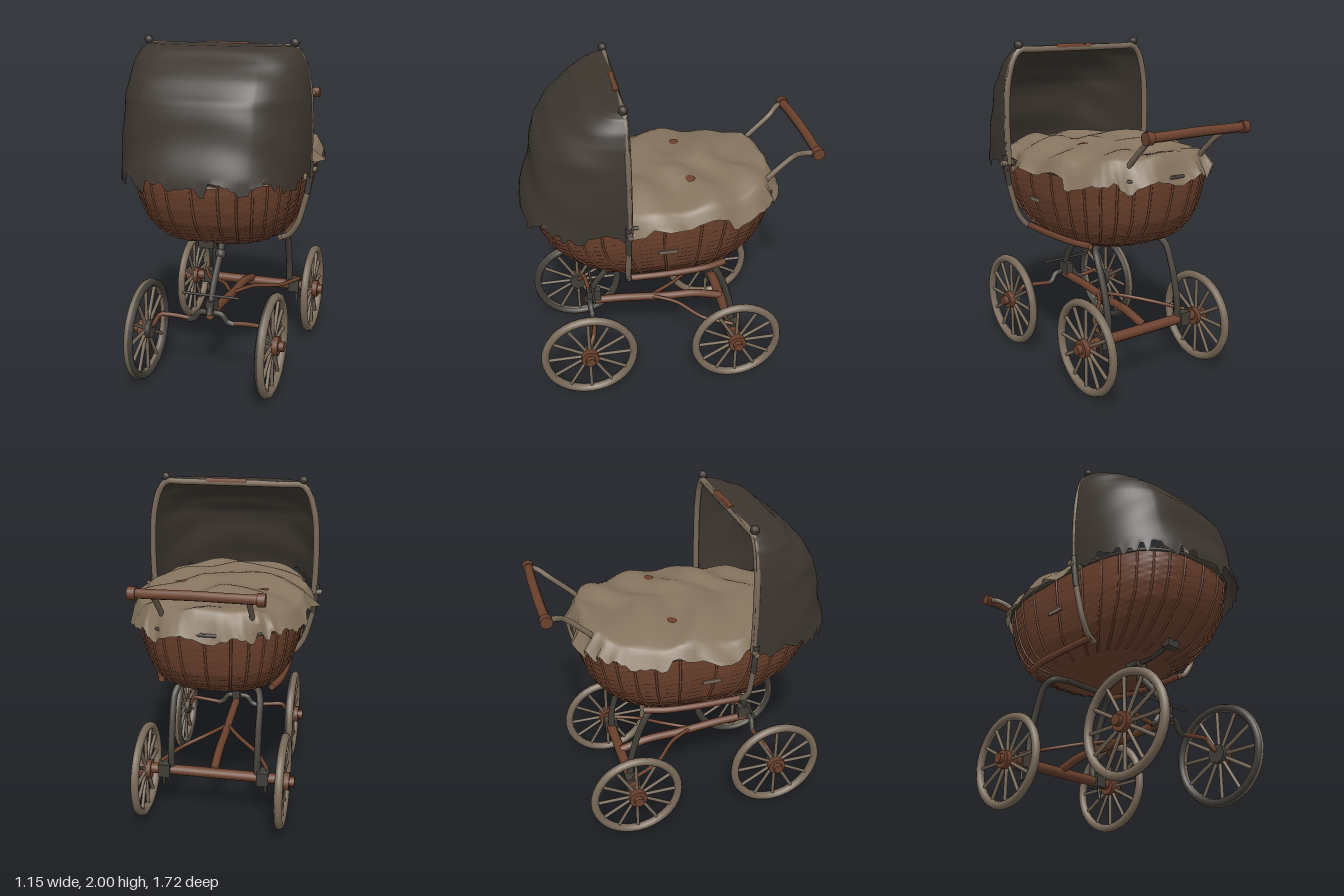
import * as THREE from 'three';
import { mergeVertices } from 'three/addons/utils/BufferGeometryUtils.js';

const mat = (name, color, side = THREE.FrontSide) => {
  const m = new THREE.MeshStandardMaterial({ color, side });
  m.name = name;
  return m;
};
const V = (x, y, z) => new THREE.Vector3(x, y, z);
const clamp = THREE.MathUtils.clamp;
const spow = (v, p) => Math.sign(v) * Math.pow(Math.abs(v), p);

// Repeatable jitter in -1..1
const noise = (i) => {
  const s = Math.sin(i * 127.1 + 3.7) * 43758.5453;
  return (s - Math.floor(s)) * 2 - 1;
};

// Linear lookup of column k in evenly spaced rows
function lookup(rows, t, k) {
  const f = clamp(t, 0, 1) * (rows.length - 1);
  const i = Math.min(Math.floor(f), rows.length - 2);
  return THREE.MathUtils.lerp(rows[i][k], rows[i + 1][k], f - i);
}

// Surface swept over a grid: fn(u, v, i, j) -> Vector3
function surface(nu, nv, fn) {
  const pos = [], idx = [];
  for (let j = 0; j <= nv; j++)
    for (let i = 0; i <= nu; i++) pos.push(...fn(i / nu, j / nv, i, j).toArray());
  for (let j = 0; j < nv; j++)
    for (let i = 0; i < nu; i++) {
      const a = j * (nu + 1) + i, b = a + nu + 1;
      idx.push(a, b, a + 1, a + 1, b, b + 1);
    }
  let g = new THREE.BufferGeometry();
  g.setAttribute('position', new THREE.Float32BufferAttribute(pos, 3));
  g.setIndex(idx);
  g = mergeVertices(g, 1e-4);
  g.computeVertexNormals();
  return g;
}

export function createModel() {
  const root = new THREE.Group();
  root.name = 'pram';
  const wicker = mat('wicker brown', 0x6d422e, THREE.DoubleSide);
  const rust = mat('rusty wood', 0x6b412d, THREE.DoubleSide);
  const iron = mat('dark iron', 0x423e38);
  const wood = mat('weathered wood', 0x796a59);
  const hoodCloth = mat('hood cloth', 0x3d362f, THREE.DoubleSide);
  const linen = mat('linen', 0x85735e, THREE.DoubleSide);

  const add = (name, geo, m, parent = root) => {
    const mesh = new THREE.Mesh(geo, m);
    mesh.name = name;
    parent.add(mesh);
    return mesh;
  };
  const tube = (name, pts, r, m, parent = root, closed = false) =>
    add(name, new THREE.TubeGeometry(
      new THREE.CatmullRomCurve3(pts, closed, 'catmullrom', 0.4), pts.length * 6, r, 8, closed), m, parent);
  const rod = (name, a, b, r, m, parent = root, sides = 8) => {
    const mesh = add(name, new THREE.CylinderGeometry(r, r, a.distanceTo(b), sides), m, parent);
    mesh.position.copy(a).lerp(b, 0.5);
    mesh.quaternion.setFromUnitVectors(V(0, 1, 0), b.clone().sub(a).normalize());
    return mesh;
  };
  const ball = (name, p, r, m) => add(name, new THREE.SphereGeometry(r, 10, 8), m).position.copy(p);
  const box = (name, w, h, d, p, m) => add(name, new THREE.BoxGeometry(w, h, d), m).position.copy(p);

  // Wicker basket: y, half width, front z, back z
  const hull = [
    [0.83, 0.0, 0.05, 0.0], [0.835, 0.28, 0.38, -0.34], [0.88, 0.36, 0.53, -0.45],
    [0.95, 0.41, 0.63, -0.53], [1.03, 0.44, 0.71, -0.585], [1.12, 0.465, 0.755, -0.615],
    [1.21, 0.478, 0.78, -0.635], [1.3, 0.485, 0.79, -0.65]];
  const hullPoint = (a, t, out = 0) => {
    const zf = lookup(hull, t, 2), zb = lookup(hull, t, 3);
    const x = spow(Math.cos(a), 2 / 2.7) * (lookup(hull, t, 1) + out);
    const z = (zf + zb) / 2 + spow(Math.sin(a), 2 / 2.7) * ((zf - zb) / 2 + out);
    return V(x, lookup(hull, t, 0), z);
  };
  const staves = 32;
  add('basket', surface(staves * 5, 35, (u, v, i, j) => {
    const weave = Math.sin(u * staves * Math.PI) * (j % 2 ? 1 : -1) * 0.006;
    return hullPoint(u * Math.PI * 2, v, v > 0.15 ? weave : 0);
  }), wicker);
  const staveGroup = new THREE.Group();
  staveGroup.name = 'basketStaves';
  root.add(staveGroup);
  for (let s = 0; s < staves; s++) {
    const a = (s / staves) * Math.PI * 2;
    tube('stave', [0.16, 0.3, 0.45, 0.6, 0.8, 1].map((t) => hullPoint(a, t, 0.002)), 0.007, wicker, staveGroup);
  }
  tube('basketRim', Array.from({ length: 32 }, (_, i) => hullPoint((i / 32) * Math.PI * 2, 0.98, 0.003)),
    0.01, iron, root, true);

  // Linen cover with folds and a ragged hem hanging over the rim
  const coverHeight = (x, z, v) => {
    const ax = Math.abs(x);
    const fold = 0.015 * Math.sin(19 * z + 9 * ax + 2 * Math.sin(5 * x)) + 0.009 * Math.sin(13 * x - 11 * z);
    return 1.335 + 0.09 * (1 - v ** 3) + fold * Math.min(1, v * 4)
      - 0.025 * clamp((z - 0.1) / 0.3, 0, 1) + 0.045 * clamp((-z - 0.35) / 0.25, 0, 1);
  };
  add('linenCover', surface(140, 36, (u, v, i) => {
    const a = u * Math.PI * 2;
    const tatter = noise((i % 140) >> 1);
    const hem = clamp((v - 0.91) / 0.09, 0, 1);
    let x = spow(Math.cos(a), 2 / 2.8) * 0.527 * v;
    let z = 0.058 + spow(Math.sin(a), 2 / 2.8) * 0.732 * v;
    x *= 1 - 0.07 * clamp((z - 0.2) / 0.1, 0, 1);
    const rear = clamp((-z - 0.5) / 0.1, 0, 1);
    const drop = z > 0.3 ? 0.03 : 0.075 + 0.035 * tatter + 0.04 * rear;
    const y = coverHeight(x, z, v) - hem * drop;
    if (z < 0.2) {
      const flap = 0.06 * Math.exp(-(((z - 0.07) / 0.05) ** 2));
      x += Math.sign(x) * hem * clamp(Math.abs(x) * 4 - 1, 0, 1) * (flap + 0.012 * tatter);
    }
    return V(x, y, z + rear * hem * 0.015 * (tatter - 0.3));
  }), linen);

  // Hood with sagging folds: y, half width, front z
  const hood = [
    [1.27, 0.53, 0.85], [1.42, 0.535, 0.81], [1.56, 0.535, 0.775], [1.69, 0.525, 0.75],
    [1.79, 0.515, 0.67], [1.87, 0.495, 0.585], [1.935, 0.46, 0.49], [1.957, 0.42, 0.43], [1.967, 0.0, 0.262]];
  add('hood', surface(90, 40, (u, v, i, j) => {
    const a = u * Math.PI;
    const sag = -0.015 * Math.abs(Math.sin(a * 3)) * Math.sin(v * Math.PI)
      + 0.006 * Math.sin(a) * Math.sin(v * 26 + 5 * Math.cos(a) ** 2);
    const w = lookup(hood, v, 1) + sag, f = lookup(hood, v, 2) + sag;
    const hem = j === 0 ? -0.01 + 0.04 * noise(i >> 1) : 0;
    return V(spow(Math.cos(a), 2 / 2.6) * w, lookup(hood, v, 0) + hem,
      0.262 + spow(Math.sin(a), 2 / 2.6) * (f - 0.262));
  }), hoodCloth);

  // Hoop under the hood's open edge, with a worn patch on top
  const hoop = [[0.515, 1.27], [0.52, 1.5], [0.51, 1.72], [0.475, 1.87], [0.42, 1.942], [0.3, 1.944]];
  tube('hoodHoop', [...hoop.map(([x, y]) => V(x, y, 0.272)),
    ...hoop.slice().reverse().map(([x, y]) => V(-x, y, 0.272))], 0.019, wood);
  rod('wornHoopPatch', V(-0.08, 1.95, 0.276), V(0.17, 1.95, 0.276), 0.021, rust);

  // Wheel with rim, spokes and hub, axis along x; stained wheels are dark on the inner side
  const wheel = (name, x, z, R, stained) => {
    const g = new THREE.Group();
    g.name = name;
    g.position.set(x, 0.3, z);
    root.add(g);
    const out = Math.sign(x);
    const ring = (part, r, dx, m) => {
      const t = add(part, new THREE.TorusGeometry(R - 0.025, r, 8, 36), m, g);
      t.rotation.y = Math.PI / 2;
      t.position.x = dx * out;
    };
    ring('rim', 0.025, 0, wood);
    if (stained) ring('stainedInnerRim', 0.022, -0.009, iron);
    for (let s = 0; s < 12; s++) {
      const a = (s / 12) * Math.PI * 2, c = Math.cos(a), d = Math.sin(a);
      rod('spoke', V(0, c * 0.04, d * 0.04), V(0, c * (R - 0.03), d * (R - 0.03)), 0.011, wood, g, 6);
    }
    rod('hub', V(-0.005 * out, 0, 0), V(0.04 * out, 0, 0), 0.055, rust, g, 12);
    rod('innerHub', V(-0.035 * out, 0, 0), V(-0.005 * out, 0, 0), 0.055, stained ? iron : rust, g, 12);
    rod('hubCap', V(0.04 * out, 0, 0), V(0.07 * out, 0, 0), 0.03, rust, g, 10);
  };

  for (const s of [-1, 1]) {
    const side = s > 0 ? 'left' : 'right';
    wheel(side + 'FrontWheel', s * 0.385, 0.525, 0.3, true);
    wheel(side + 'RearWheel', s * 0.42, -0.4, 0.288, false);

    // Hood corner knob, pivot and side strap
    ball(side + 'HoodKnob', V(s * 0.425, 1.972, 0.278), 0.026, hoodCloth);
    rod(side + 'HoodPivot', V(s * 0.48, 1.28, 0.275), V(s * 0.565, 1.28, 0.275), 0.017, wood);
    tube(side + 'UpperStrap', [V(s * 0.533, 1.33, 0.28), V(s * 0.526, 1.24, 0.28), V(s * 0.512, 1.14, 0.28)],
      0.018, iron);
    tube(side + 'SideStrap', [V(s * 0.512, 1.14, 0.28), V(s * 0.465, 0.97, 0.28),
      V(s * 0.41, 0.885, 0.27), V(s * 0.35, 0.855, 0.26)], 0.017, wood);
    tube(side + 'BottomRail', [V(s * 0.385, 0.872, 0.28), V(s * 0.385, 0.87, 0.05),
      V(s * 0.37, 0.87, -0.18), V(s * 0.33, 0.87, -0.32)], 0.02, rust);

    // Tear in the linen showing brown beneath, and a loose pale splint on the basket
    add(side + 'LinenTear', surface(12, 3, (u, v) => {
      const a = u * Math.PI * 2;
      const x = s * 0.245 + 0.035 * v * Math.cos(a), z = -0.12 + 0.028 * v * Math.sin(a);
      return V(x, coverHeight(x, z, 0.51) + 0.007, z);
    }), rust);
    box(side + 'PaleSplint', 0.009, 0.022, 0.11, V(s * 0.468, 1.09, 0.05), wood);

    // Rear leg down to the axle, with its clamp
    tube(side + 'RearLeg', [V(s * 0.13, 0.825, -0.2), V(s * 0.23, 0.815, -0.23), V(s * 0.26, 0.76, -0.29),
      V(s * 0.262, 0.62, -0.35), V(s * 0.262, 0.45, -0.395), V(s * 0.262, 0.32, -0.4)], 0.021, iron);
    box(side + 'AxleClamp', 0.07, 0.085, 0.085, V(s * 0.3, 0.315, -0.4), iron);
    rod(side + 'LooseStay', V(s * 0.31, 0.3, -0.4), V(s * 0.315, 0.2, -0.39), 0.009, iron);

    // Curved brace from axle to reach pole
    tube(side + 'Brace', [V(s * 0.33, 0.36, -0.4), V(s * 0.24, 0.37, -0.22),
      V(s * 0.1, 0.4, -0.08), V(0, 0.4, 0.08)], 0.012, rust);

    // Stay from the yoke to the front hub
    tube(side + 'YokeStay', [V(s * 0.12, 0.375, 0.47), V(s * 0.22, 0.385, 0.475), V(s * 0.31, 0.385, 0.49),
      V(s * 0.345, 0.33, 0.515), V(s * 0.385, 0.3, 0.525)], 0.014, rust);

    // Handle arm and grip end
    tube(side + 'HandleArm', [V(s * 0.25, 1.32, -0.53), V(s * 0.25, 1.4, -0.6), V(s * 0.255, 1.51, -0.72),
      V(s * 0.3, 1.55, -0.78), V(s * 0.33, 1.56, -0.83)], 0.016, wood);
    rod(side + 'GripEnd', V(s * 0.31, 1.56, -0.832), V(s * 0.352, 1.56, -0.832), 0.035, rust, root, 10);
  }
  tube('handleGrip', [V(-0.33, 1.56, -0.83), V(-0.2, 1.562, -0.836), V(0, 1.565, -0.838),
    V(0.2, 1.562, -0.836), V(0.33, 1.56, -0.83)], 0.027, rust);

  // Undercarriage
  rod('rearAxle', V(-0.42, 0.31, -0.4), V(0.42, 0.31, -0.4), 0.032, rust, root, 10);
  tube('reachPole', [V(0, 0.42, 0.5), V(0, 0.41, 0.25), V(0, 0.385, 0), V(0, 0.375, -0.22), V(0, 0.33, -0.4)],
    0.026, rust);
  tube('frontStrut', [V(0, 0.85, 0.24), V(0, 0.75, 0.28), V(0, 0.58, 0.42), V(0, 0.42, 0.5)], 0.02, iron);
  ball('strutJoint', V(0, 0.73, 0.29), 0.034, iron);
  tube('frontYoke', [V(-0.14, 0.37, 0.47), V(-0.1, 0.385, 0.475), V(-0.06, 0.43, 0.48),
    V(0.06, 0.43, 0.48), V(0.1, 0.385, 0.475), V(0.14, 0.37, 0.47)], 0.018, iron);
  rod('footRod', V(-0.18, 0.53, 0.46), V(0.17, 0.53, 0.46), 0.008, iron);
  box('strutFoot', 0.05, 0.08, 0.09, V(0, 0.465, 0.45), iron);
  box('strutBracket', 0.09, 0.06, 0.08, V(0, 0.835, 0.25), iron);
  tube('keelStrap', [V(0, 0.835, 0.25), V(0, 0.842, 0.38), V(0, 0.88, 0.52)], 0.018, iron);
  box('keelBracket', 0.09, 0.075, 0.05, V(0, 0.885, 0.52), iron);
  rod('crossBar', V(-0.15, 0.825, -0.2), V(0.15, 0.825, -0.2), 0.02, iron);

  return root;
}
